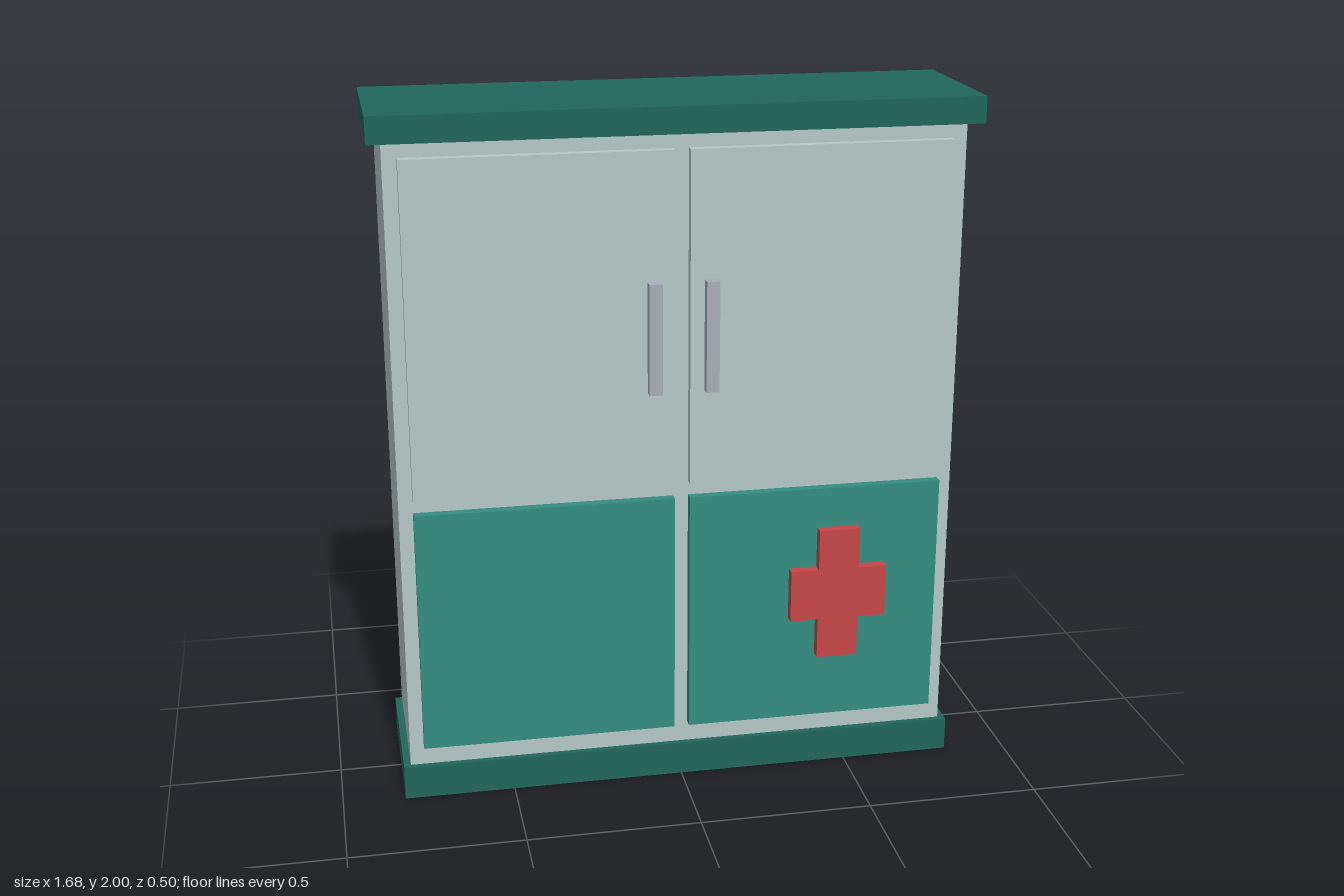
import * as THREE from 'three';

const paint = (name, color) => {
  const m = new THREE.MeshStandardMaterial({ color });
  m.name = name;
  return m;
};

export function createModel() {
  const cabinet = new THREE.Group();
  cabinet.name = 'medicineCabinet';

  const grey = paint('pale grey', 0xb6c8c7);
  const darkGreen = paint('dark green', 0x20675b);
  const teal = paint('teal', 0x348e80);
  const red = paint('red', 0xc64545);
  const metal = paint('handle grey', 0xa9adb8);

  // Box given by its extents along each axis
  const box = (name, material, [x0, x1], [y0, y1], [z0, z1]) => {
    const mesh = new THREE.Mesh(new THREE.BoxGeometry(x1 - x0, y1 - y0, z1 - z0), material);
    mesh.position.set((x0 + x1) / 2, (y0 + y1) / 2, (z0 + z1) / 2);
    mesh.name = name;
    cabinet.add(mesh);
  };

  const back = -0.248, bodyFront = 0.19, doorFront = 0.218, front = 0.248;

  // Carcass, flush with the floor and the back, with its plinth and cap
  box('body', grey, [-0.8, 0.8], [0, 1.93], [back, bodyFront]);
  box('plinth', darkGreen, [-0.82, 0.82], [0.001, 0.1], [back + 0.001, 0.208]);
  box('cap', darkGreen, [-0.84, 0.84], [1.925, 2], [back, 0.227]);

  // Doors above, panels below, and a handle on each door
  const sides = [
    ['left', [0.02, 0.76], [0.06, 0.097]],
    ['right', [-0.76, -0.023], [-0.1, -0.063]],
  ];
  for (const [side, span, handleSpan] of sides) {
    box(side + 'UpperDoor', grey, span, [0.927, 1.882], [bodyFront, doorFront]);
    box(side + 'LowerPanel', teal, span, [0.163, 0.885], [bodyFront, doorFront]);
    box(side + 'Handle', metal, handleSpan, [1.205, 1.522], [doorFront, front]);
  }

  // Raised cross on the left lower panel
  const cx = 0.457, cy = 0.565, a = 0.06, b = 0.078, w = 0.142, h = 0.2;
  const outline = [
    [-a, -h], [a, -h], [a, -b], [w, -b], [w, b], [a, b],
    [a, h], [-a, h], [-a, b], [-w, b], [-w, -b], [-a, -b],
  ].map(([x, y]) => new THREE.Vector2(x, y));
  const cross = new THREE.Mesh(
    new THREE.ExtrudeGeometry(new THREE.Shape(outline), { depth: front - doorFront, bevelEnabled: false }),
    red,
  );
  cross.position.set(cx, cy, doorFront);
  cross.name = 'cross';
  cabinet.add(cross);

  return cabinet;
}
